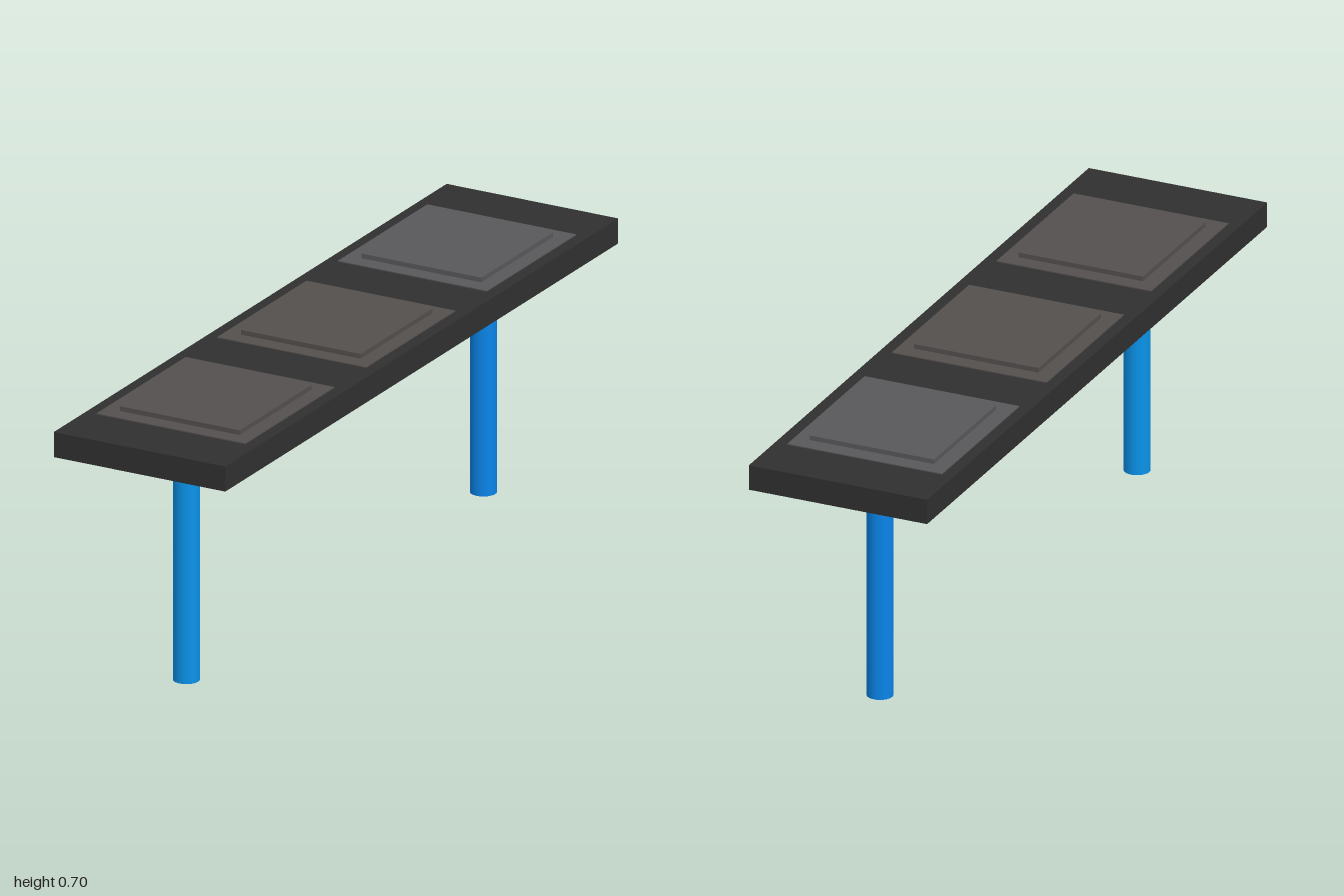
import * as THREE from 'three';

const paint = (color) => new THREE.MeshStandardMaterial({ color });

// Box given by its centre in x and z, and its bottom and top heights
function slab(name, width, depth, bottom, top, x, z, material) {
  const mesh = new THREE.Mesh(new THREE.BoxGeometry(width, top - bottom, depth), material);
  mesh.position.set(x, (bottom + top) / 2, z);
  mesh.name = name;
  return mesh;
}

export function createModel() {
  const group = new THREE.Group();
  group.name = 'bench';

  const UNDER = 0.623, TOP = 0.69;

  // Long bench board
  group.add(slab('board', 0.493, 2, UNDER, TOP, 0, 0, paint(0x303030)));

  // Three seats: a thin base plate with a raised pad on it
  const seats = [
    { name: 'backSeat', z: -0.618, color: 0x58585a },
    { name: 'middleSeat', z: -0.003, color: 0x544f4d },
    { name: 'frontSeat', z: 0.612, color: 0x544f4f },
  ];
  for (const { name, z, color } of seats) {
    const seat = new THREE.Group();
    seat.name = name;
    const material = paint(color);
    seat.add(slab('seatPlate', 0.428, 0.455, TOP - 0.01, 0.6925, -0.001, z, material));
    seat.add(slab('seatPad', 0.344, 0.366, TOP, 0.705, 0, z, material));
    group.add(seat);
  }

  // Two round legs
  const legs = [
    { name: 'frontLeg', z: 0.774, color: 0x0a92e8 },
    { name: 'backLeg', z: -0.738, color: 0x0a84e8 },
  ];
  for (const { name, z, color } of legs) {
    const leg = new THREE.Mesh(new THREE.CylinderGeometry(0.034, 0.034, UNDER, 32), paint(color));
    leg.position.set(0.007, UNDER / 2, z);
    leg.name = name;
    group.add(leg);
  }

  return group;
}
